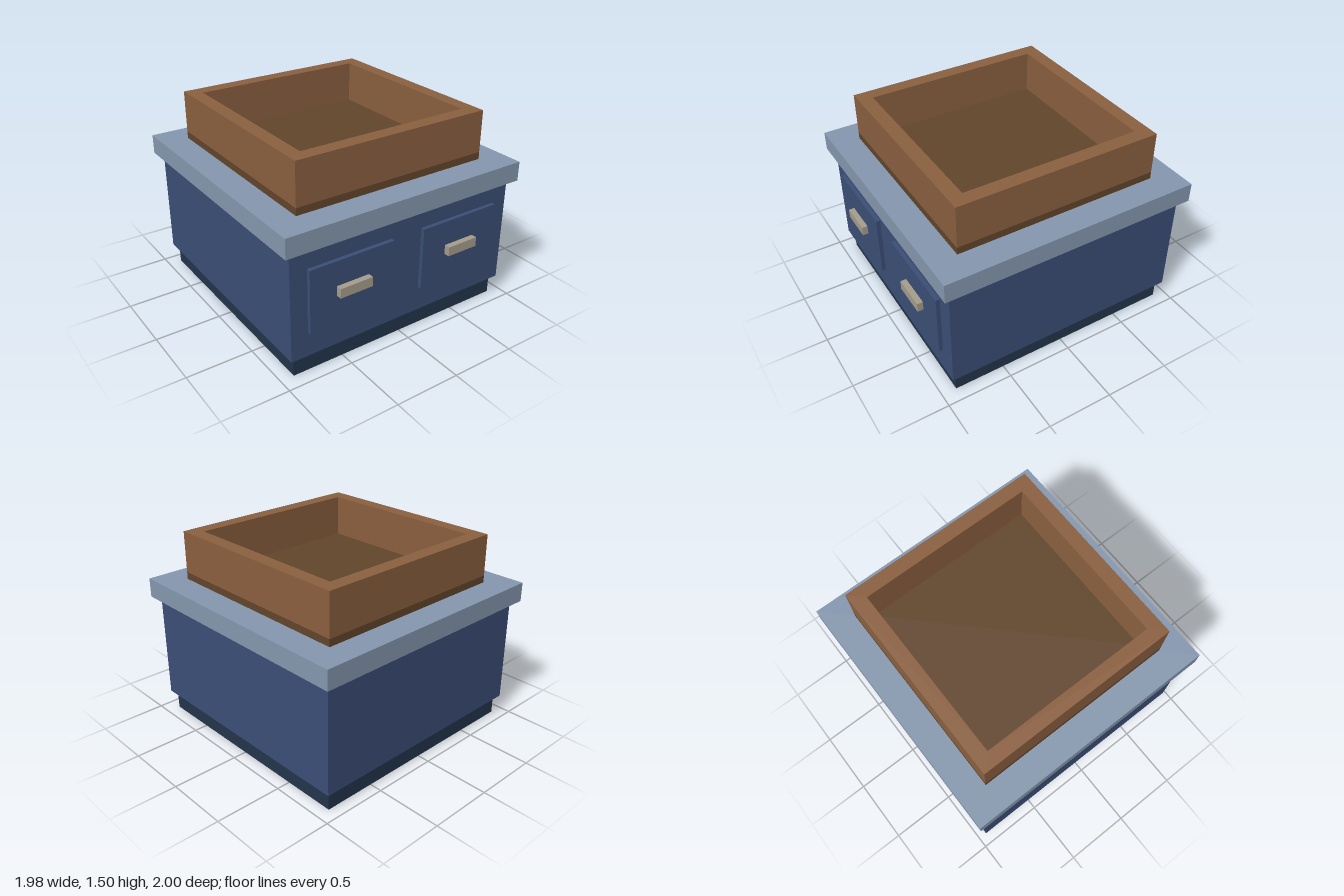
import * as THREE from 'three';

const paint = (name, color) => {
  const m = new THREE.MeshStandardMaterial({ color });
  m.name = name;
  return m;
};

export function createModel() {
  const navy = paint('navy', 0x3b4e76);
  const darkNavy = paint('darkNavy', 0x22344a);
  const slate = paint('slate', 0x8597ae);
  const wood = paint('wood', 0x8a5f3f);
  const darkWood = paint('darkWood', 0x61452b);
  const metal = paint('metal', 0xa59c8c);

  const model = new THREE.Group();
  model.name = 'planterCabinet';

  // Box given by its limits on each axis
  const box = (name, mat, [x0, x1], [y0, y1], [z0, z1], parent = model) => {
    const mesh = new THREE.Mesh(new THREE.BoxGeometry(x1 - x0, y1 - y0, z1 - z0), mat);
    mesh.position.set((x0 + x1) / 2, (y0 + y1) / 2, (z0 + z1) / 2);
    mesh.name = name;
    parent.add(mesh);
  };

  // Cabinet
  box('plinth', darkNavy, [-0.897, 0.897], [0, 0.15], [-0.905, 0.888]);
  box('cabinetBody', navy, [-0.935, 0.935], [0.15, 0.975], [-0.942, 0.926]);
  box('countertop', slate, [-0.99, 0.99], [0.975, 1.123], [-1, 0.98]);

  // Drawers with handles
  for (const side of [-1, 1]) {
    const drawer = new THREE.Group();
    drawer.name = side > 0 ? 'leftDrawer' : 'rightDrawer';
    const cx = side * 0.467;
    box('drawerFront', navy, [cx - 0.337, cx + 0.337], [0.34, 0.823], [0.92, 0.956], drawer);
    box('handle', metal, [cx - 0.13, cx + 0.13], [0.563, 0.635], [0.956, 1], drawer);
    model.add(drawer);
  }

  // Open tray: floor slab and a square rim
  const tray = new THREE.Group();
  tray.name = 'tray';
  tray.position.z = -0.01;
  box('trayFloor', darkWood, [-0.783, 0.783], [1.123, 1.178], [-0.785, 0.785], tray);
  const rim = new THREE.Shape([[-0.783, -0.785], [0.783, -0.785], [0.783, 0.785], [-0.783, 0.785]]
    .map(([x, y]) => new THREE.Vector2(x, y)));
  rim.holes.push(new THREE.Path([[-0.677, -0.677], [-0.677, 0.677], [0.677, 0.677], [0.677, -0.677]]
    .map(([x, y]) => new THREE.Vector2(x, y))));
  const walls = new THREE.Mesh(
    new THREE.ExtrudeGeometry(rim, { depth: 0.32, bevelEnabled: false }).rotateX(-Math.PI / 2), wood);
  walls.position.y = 1.178;
  walls.name = 'trayWalls';
  tray.add(walls);
  model.add(tray);

  return model;
}
